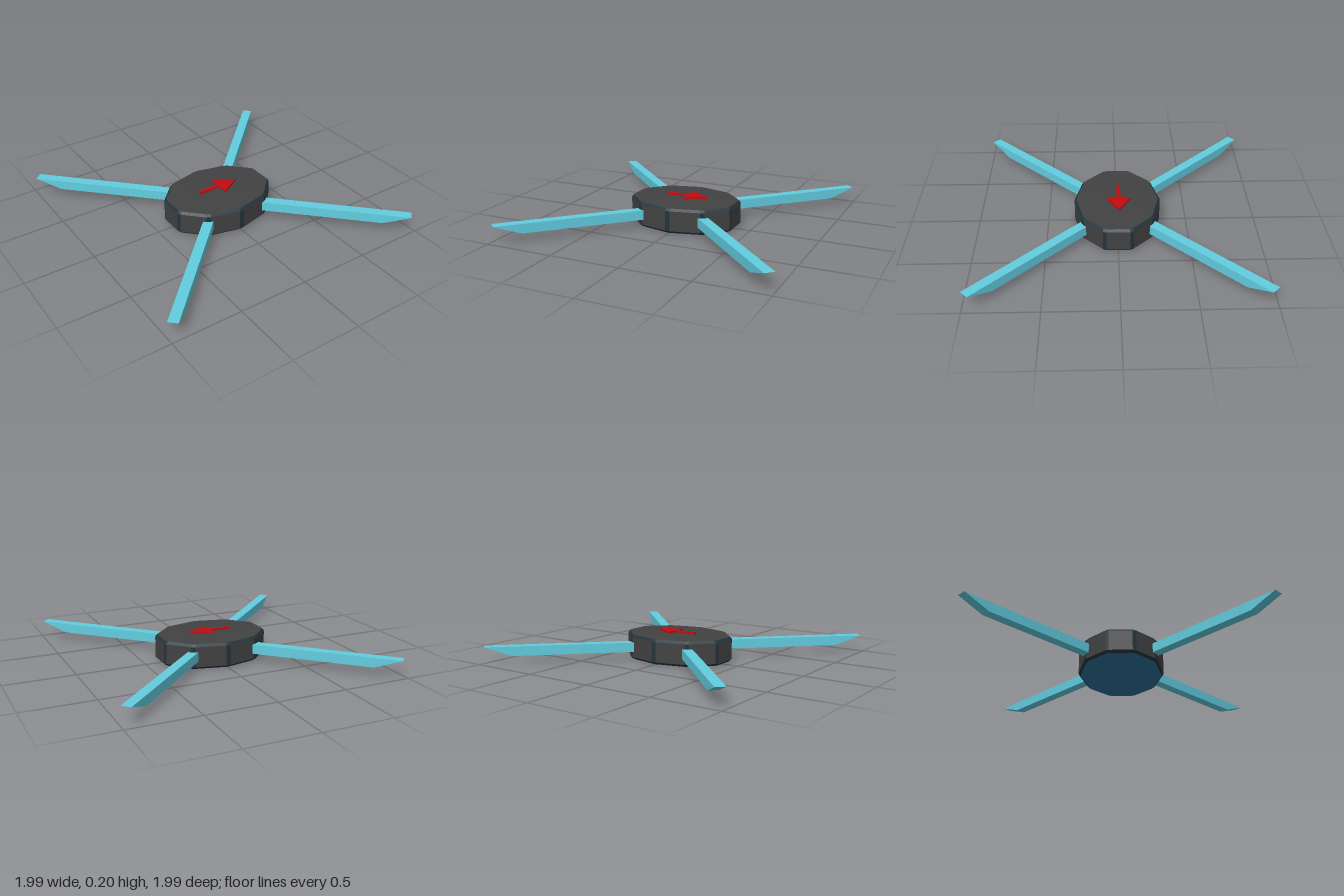
import * as THREE from 'three';

const SIDES = 10;

function part(name, geometry, color) {
  const material = new THREE.MeshStandardMaterial({ color, flatShading: true });
  const mesh = new THREE.Mesh(geometry, material);
  mesh.name = name;
  return mesh;
}

// Stretched decagon with its corners cut off: two points per corner, clockwise from above reversed
function loop(y, inset) {
  const corners = [];
  for (let i = 0; i < SIDES; i++) {
    const a = Math.PI / 2 - ((i + 0.0) / SIDES) * Math.PI * 2;
    corners.push(new THREE.Vector3(Math.cos(a) * (0.414 - inset), y, Math.sin(a) * (0.31 - inset)));
  }
  const cut = 0.07;
  return corners.flatMap((c, i) => [
    c.clone().lerp(corners[(i + SIDES - 1) % SIDES], cut),
    c.clone().lerp(corners[(i + 1) % SIDES], cut),
  ]);
}

// Joins two loops with quads; keep(i) selects which ones
function band(low, high, keep = () => true) {
  const points = [];
  low.forEach((a, i) => {
    if (!keep(i)) return;
    const j = (i + 1) % low.length;
    points.push(a, low[j], high[j], a, high[j], high[i]);
  });
  return fromPoints(points);
}

// Closes a loop with a fan around a centre point
function cap(ring, centreY, up) {
  const centre = new THREE.Vector3(0, centreY, 0);
  return fromPoints(ring.flatMap((a, i) => {
    const b = ring[(i + 1) % ring.length];
    return up ? [centre, a, b] : [centre, b, a];
  }));
}

function fromPoints(points) {
  const geometry = new THREE.BufferGeometry().setFromPoints(points);
  geometry.computeVertexNormals();
  return geometry;
}

function createBody() {
  const body = new THREE.Group();
  body.name = 'body';
  const [bottom, low, high, top] = [loop(0.004, 0.016), loop(0.02, 0), loop(0.165, 0), loop(0.182, 0.016)];
  const grey = 0x424242, trim = 0x22343c;
  body.add(
    part('sidePanels', band(low, high, (i) => i % 2 === 1), grey),
    part('cornerTrim', band(low, high, (i) => i % 2 === 0), trim),
    part('upperRim', band(high, top), trim),
    part('lowerRim', band(bottom, low), trim),
    part('topCover', cap(top, 0.192, true), grey),
    part('basePlate', cap(bottom, 0, false), 0x2a7096),
  );
  return body;
}

// Arm seen from the side, with its tip cut upwards at a slant
function createArm(angle) {
  const profile = new THREE.Shape([
    new THREE.Vector2(0.2, 0.06),
    new THREE.Vector2(1.185, 0.06),
    new THREE.Vector2(1.375, 0.128),
    new THREE.Vector2(0.2, 0.128),
  ]);
  const geometry = new THREE.ExtrudeGeometry(profile, { depth: 0.07, bevelEnabled: false });
  geometry.translate(0, 0, -0.035);
  const arm = part('arm', geometry, 0x62cde0);
  arm.rotation.y = angle;
  return arm;
}

// Flat direction marker pointing along +x
function createArrow() {
  const half = [[-0.145, 0.014], [0.004, 0.014], [0.022, 0.086]];
  const outline = [...half, [0.165, 0], ...half.map(([x, y]) => [x, -y]).reverse()];
  const shape = new THREE.Shape(outline.map(([x, y]) => new THREE.Vector2(x, y)));
  const geometry = new THREE.ExtrudeGeometry(shape, { depth: 0.02, bevelEnabled: false });
  geometry.rotateX(-Math.PI / 2).translate(0, 0.182, -0.01);
  return part('directionArrow', geometry, 0xc00c10);
}

export function createModel() {
  const model = new THREE.Group();
  model.name = 'quadcopterFrame';
  model.add(createBody(), createArrow());
  for (let i = 0; i < 4; i++) model.add(createArm(Math.PI / 4 + (i * Math.PI) / 2));
  return model;
}
